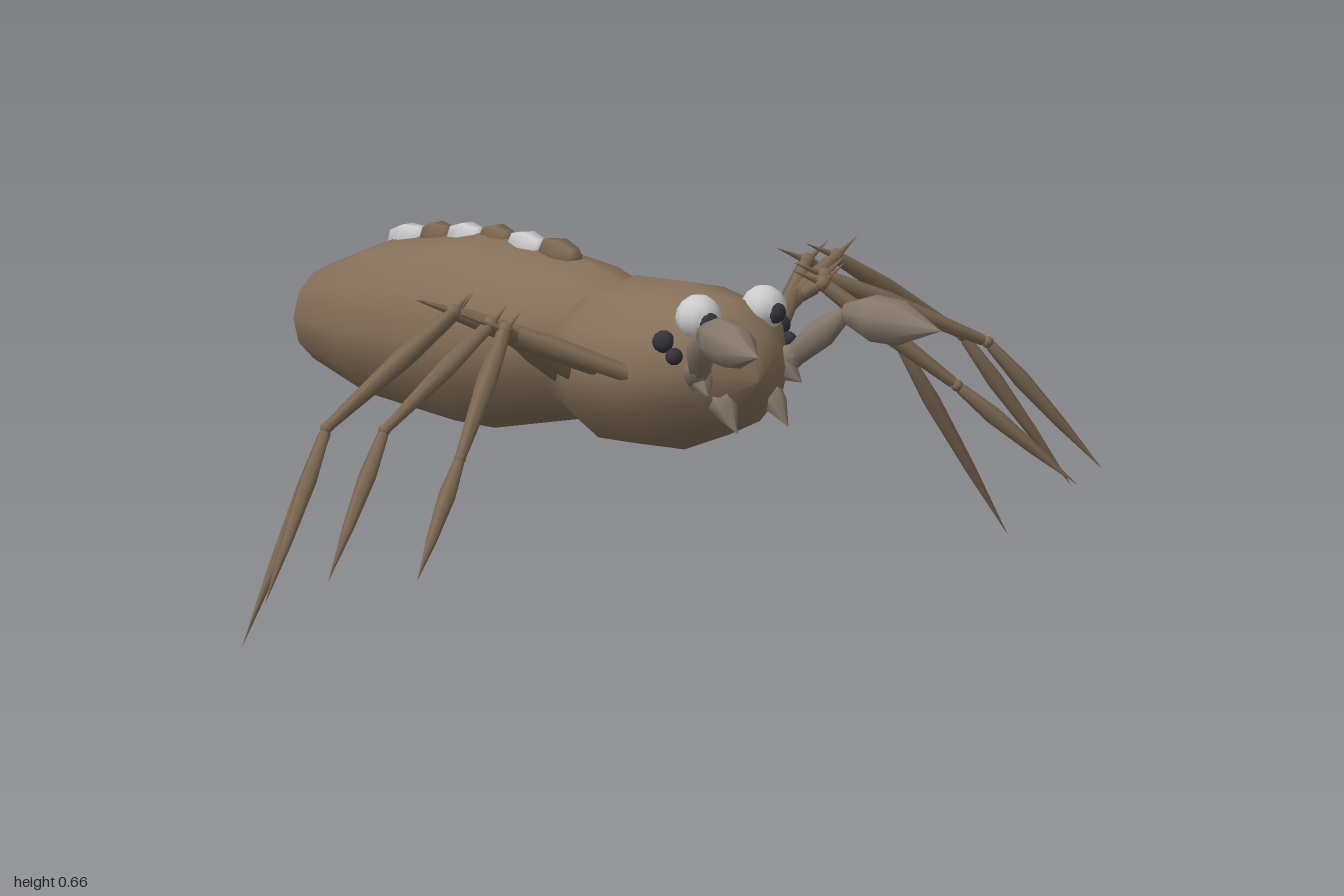
import * as THREE from 'three';

const mat = (color) => new THREE.MeshStandardMaterial({ color });
const brown = mat(0x86705a), legBrown = mat(0x7d6953), palpBrown = mat(0x85776a);
const white = mat(0xcccccc), dark = mat(0x33333a);
const V = (x, y, z) => new THREE.Vector3(x, y, z);

// Closed skin over elliptical rings [z, halfWidth, topY, bottomY], listed front to back
function loft(rings, sides = 12) {
  const pos = [], idx = [];
  rings.forEach(([z, w, top, bottom], i) => {
    for (let j = 0; j < sides; j++) {
      const t = (j / sides) * Math.PI * 2;
      pos.push(w * Math.sin(t), (top + bottom) / 2 + ((top - bottom) / 2) * Math.cos(t), z);
      if (i === rings.length - 1) continue;
      const a = i * sides + j, b = i * sides + (j + 1) % sides;
      idx.push(a, b, a + sides, b, b + sides, a + sides);
    }
  });
  const g = new THREE.BufferGeometry();
  g.setAttribute('position', new THREE.Float32BufferAttribute(pos, 3));
  g.setIndex(idx);
  g.computeVertexNormals();
  return g;
}

// Tapered limb segment from a to b; profile holds [radius, fraction of length]
function segment(a, b, profile, sides = 6) {
  const dir = b.clone().sub(a), len = dir.length();
  const g = new THREE.LatheGeometry(profile.map(([r, f]) => new THREE.Vector2(r, f * len)), sides);
  g.applyQuaternion(new THREE.Quaternion().setFromUnitVectors(V(0, 1, 0), dir.normalize()));
  return g.translate(a.x, a.y, a.z);
}

const FEMUR = [[0, 0], [0.016, 0.02], [0.021, 0.45], [0.014, 0.95], [0, 1]];
const TIBIA = [[0, 0], [0.014, 0.03], [0.02, 0.4], [0.011, 0.97], [0, 1]];
const TARSUS = [[0, 0], [0.011, 0.03], [0.017, 0.3], [0.011, 0.65], [0, 1]];
const SPIKE = [[0, 0], [0.008, 0.05], [0, 1]];
const FANG = [[0, 0], [0.028, 0.05], [0.024, 0.4], [0, 1]];
const PALP_ARM = [[0, 0], [0.022, 0.05], [0.03, 0.55], [0.018, 0.97], [0, 1]];
const PALP_TIP = [[0, 0], [0.022, 0.03], [0.046, 0.3], [0.044, 0.58], [0, 1]];

// Legs as base, knee, joint, tip on the +x side
const LEGS = [
  [[0.15, 0.48, 0.38], [0.43, 0.61, 0.165], [0.70, 0.41, 0.11], [0.94, 0.01, 0.145]],
  [[0.16, 0.48, 0.29], [0.47, 0.62, 0.205], [0.78, 0.43, 0.205], [0.99, 0.12, 0.28]],
  [[0.16, 0.46, 0.19], [0.41, 0.595, 0.245], [0.74, 0.44, 0.335], [0.95, 0.18, 0.425]],
  [[0.13, 0.44, 0.11], [0.39, 0.585, 0.265], [0.61, 0.38, 0.405], [0.81, 0.18, 0.525]],
];

export function createModel() {
  const model = new THREE.Group();
  const add = (parent, name, geo, material) => {
    const m = new THREE.Mesh(geo, material);
    m.name = name;
    parent.add(m);
    return m;
  };
  const ball = (parent, name, r, p, material) =>
    add(parent, name, new THREE.SphereGeometry(r, 10, 8), material).position.copy(p);

  // Body
  add(model, 'abdomen', loft([
    [0.24, 0, 0.48, 0.48], [0.17, 0.115, 0.61, 0.37], [0.02, 0.163, 0.638, 0.33],
    [-0.26, 0.195, 0.655, 0.27], [-0.55, 0.172, 0.605, 0.285],
    [-0.76, 0.1, 0.52, 0.325], [-0.85, 0, 0.415, 0.415],
  ]), brown);
  add(model, 'head', loft([
    [0.56, 0, 0.48, 0.48], [0.535, 0.085, 0.58, 0.41], [0.47, 0.15, 0.632, 0.365],
    [0.33, 0.192, 0.645, 0.315], [0.18, 0.185, 0.635, 0.305],
    [0.07, 0.145, 0.59, 0.34], [0.02, 0, 0.47, 0.47],
  ]), brown);

  // Row of ridged bumps along the back, alternating brown and pale
  [[-0.055, 0.642, 0.062], [-0.155, 0.642, 0.058], [-0.25, 0.642, 0.05],
    [-0.345, 0.632, 0.056], [-0.435, 0.62, 0.048], [-0.525, 0.603, 0.062]].forEach(([z, y, r], i) => {
    const bump = add(model, 'backBump', new THREE.SphereGeometry(1, 6, 4).rotateX(Math.PI / 2), i % 2 ? white : legBrown);
    bump.scale.set(0.028, 0.032, r);
    bump.position.set(0, y, z);
    bump.rotation.x = -0.12 * (i - 1.5) / 2;
  });

  for (const s of [1, -1]) {
    const side = s > 0 ? 'left' : 'right';
    const P = (x, y, z) => V(s * x, y, z);

    // Legs
    LEGS.forEach((points, i) => {
      const leg = new THREE.Group();
      leg.name = `${side}Leg${i + 1}`;
      model.add(leg);
      const [base, knee, joint, tip] = points.map((p) => P(...p));
      add(leg, 'femur', segment(base, knee, FEMUR), legBrown);
      add(leg, 'tibia', segment(knee, joint, TIBIA), legBrown);
      add(leg, 'tarsus', segment(joint, tip, TARSUS), legBrown);
      ball(leg, 'knee', 0.016, knee, legBrown);
      ball(leg, 'joint', 0.012, joint, legBrown);
      add(leg, 'kneeSpike', segment(knee, knee.clone().add(P(0.075, 0.03, -0.025)), SPIKE, 5), legBrown);
      add(leg, 'kneeSpike', segment(knee, knee.clone().add(P(-0.06, 0.03, -0.02)), SPIKE, 5), legBrown);
    });

    // Feelers
    const elbow = P(0.172, 0.605, 0.61);
    add(model, `${side}FeelerBase`, segment(P(0.09, 0.48, 0.47), P(0.13, 0.53, 0.545), PALP_ARM), palpBrown);
    add(model, `${side}FeelerArm`, segment(P(0.115, 0.51, 0.52), elbow, PALP_ARM, 8), palpBrown);
    add(model, `${side}FeelerTip`, segment(elbow, P(0.225, 0.597, 0.845), PALP_TIP, 8), palpBrown);

    // Fangs
    add(model, `${side}Fang`, segment(P(0.06, 0.455, 0.51), P(0.062, 0.388, 0.575), FANG), palpBrown);
    add(model, `${side}SmallFang`, segment(P(0.1, 0.5, 0.5), P(0.115, 0.465, 0.55), FANG), palpBrown);

    // Eyes
    ball(model, `${side}Eye`, 0.045, P(0.08, 0.605, 0.475), white);
    ball(model, `${side}Pupil`, 0.022, P(0.083, 0.6, 0.506), dark);
    ball(model, `${side}SideEye`, 0.022, P(0.142, 0.56, 0.445), dark);
    ball(model, `${side}LowerEye`, 0.017, P(0.14, 0.535, 0.475), dark);
  }
  return model;
}
